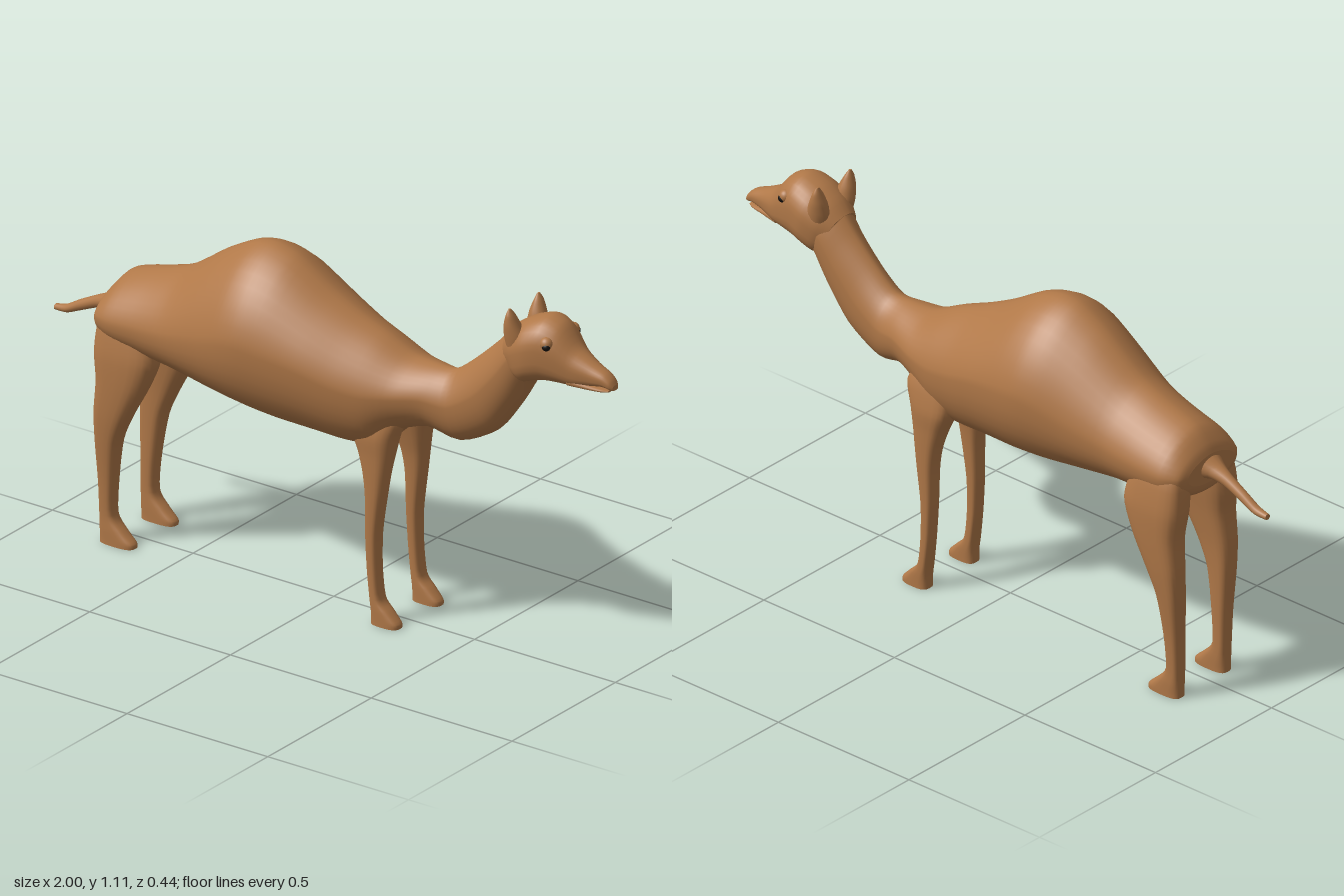
import * as THREE from 'three';

const hide = new THREE.MeshStandardMaterial({ color: 0xb07848 });
const dark = new THREE.MeshStandardMaterial({ color: 0x15100c });

// Smooth interpolation of one number along a row of sections
function spline(p0, p1, p2, p3, t) {
  const m1 = (p2 - p0) * 0.4, m2 = (p3 - p1) * 0.4;
  const t2 = t * t, t3 = t2 * t;
  return (2 * t3 - 3 * t2 + 1) * p1 + (t3 - 2 * t2 + t) * m1 + (3 * t2 - 2 * t3) * p2 + (t3 - t2) * m2;
}

// Skin over sections [ax, ay, bx, by, halfWidth, centreZ, widest point from a to b].
// Each section is a rounded loop running from point a round to point b and back;
// powerA and powerB set how square its two halves are.
function loft(name, rows, powerA, powerB, sides = 28, steps = 4) {
  const rings = [];
  for (let i = 0; i < rows.length - 1; i++) {
    for (let s = 0; s < steps || (i === rows.length - 2 && s === steps); s++) {
      const at = (k) => rows[Math.min(rows.length - 1, Math.max(0, k))];
      rings.push(rows[i].map((_, c) => spline(at(i - 1)[c], at(i)[c], at(i + 1)[c], at(i + 2)[c], s / steps)));
    }
  }
  const pos = [], index = [];
  const addRing = ([ax, ay, bx, by, w, z, mid]) => {
    for (let j = 0; j < sides; j++) {
      const a = (j / sides) * Math.PI * 2;
      const power = Math.cos(a) > 0 ? powerA : powerB;
      const round = (v) => Math.sign(v) * Math.abs(v) ** (2 / power);
      const c = round(Math.cos(a));
      const f = c > 0 ? mid * (1 - c) : mid - (1 - mid) * c;
      pos.push(ax + (bx - ax) * f, ay + (by - ay) * f, z + w * round(Math.sin(a)));
    }
  };
  rings.forEach(addRing);
  for (let i = 0; i < rings.length - 1; i++) {
    for (let j = 0; j < sides; j++) {
      const a = i * sides + j, b = i * sides + (j + 1) % sides;
      index.push(a, b, a + sides, b, b + sides, a + sides);
    }
  }
  // Flat end caps with their own vertices so the rims stay sharp
  [rings[0], rings[rings.length - 1]].forEach((r, end) => {
    const base = pos.length / 3;
    addRing(r);
    pos.push((r[0] + r[2]) / 2, (r[1] + r[3]) / 2, r[5]);
    for (let j = 0; j < sides; j++) {
      const a = base + j, b = base + (j + 1) % sides;
      index.push(base + sides, end ? a : b, end ? b : a);
    }
  });
  const g = new THREE.BufferGeometry();
  g.setAttribute('position', new THREE.Float32BufferAttribute(pos, 3));
  g.setIndex(index);
  g.computeVertexNormals();
  const mesh = new THREE.Mesh(g, hide);
  mesh.name = name;
  return mesh;
}

// Leg rows: [y, front x, back x, half width, offset from the middle]
function leg(name, rows, side, centre) {
  return loft(name, rows.map(([y, f, b, w, o]) => [f, y, b, y, w, centre + side * o, 0.5]), 2.8, 3.2, 24);
}

export function createModel() {
  const camel = new THREE.Group();
  camel.name = 'camel';

  // Trunk with hump, running on into the neck
  camel.add(loft('bodyAndNeck', [
    [-0.78, 0.76, -0.78, 0.67, 0.10, -0.012, 0.5],
    [-0.765, 0.79, -0.768, 0.64, 0.13, -0.015, 0.5],
    [-0.72, 0.835, -0.71, 0.615, 0.152, -0.018, 0.55],
    [-0.60, 0.872, -0.60, 0.60, 0.16, -0.014, 0.55],
    [-0.50, 0.91, -0.50, 0.59, 0.168, -0.007, 0.55],
    [-0.37, 1.00, -0.37, 0.57, 0.192, -0.002, 0.55],
    [-0.27, 1.052, -0.27, 0.555, 0.212, 0, 0.52],
    [-0.20, 1.06, -0.20, 0.547, 0.218, 0, 0.5],
    [-0.12, 1.038, -0.12, 0.54, 0.211, 0, 0.49],
    [0.00, 0.965, 0.00, 0.535, 0.192, 0, 0.45],
    [0.10, 0.915, 0.10, 0.53, 0.172, -0.002, 0.45],
    [0.19, 0.878, 0.19, 0.54, 0.152, -0.007, 0.45],
    [0.28, 0.835, 0.265, 0.605, 0.126, -0.012, 0.45],
    [0.36, 0.828, 0.36, 0.635, 0.095, -0.012, 0.45],
    [0.43, 0.832, 0.46, 0.617, 0.076, -0.011, 0.45],
    [0.50, 0.885, 0.58, 0.68, 0.072, -0.01, 0.45],
    [0.58, 0.96, 0.66, 0.785, 0.073, -0.01, 0.45],
    [0.64, 1.025, 0.715, 0.875, 0.075, -0.008, 0.45],
    [0.69, 1.065, 0.77, 0.91, 0.065, -0.005, 0.45],
  ], 1.65, 2.15, 40));

  // Skull and muzzle with a flat jaw; the mouth opens only at the tip
  camel.add(loft('head', [
    [0.625, 1.01, 0.675, 0.885, 0.066, -0.006, 0.5],
    [0.66, 1.045, 0.705, 0.878, 0.084, -0.005, 0.45],
    [0.71, 1.077, 0.74, 0.892, 0.093, -0.005, 0.45],
    [0.77, 1.096, 0.78, 0.902, 0.086, -0.005, 0.45],
    [0.82, 1.078, 0.82, 0.905, 0.073, -0.004, 0.5],
    [0.87, 1.02, 0.87, 0.907, 0.055, -0.002, 0.5],
    [0.925, 0.988, 0.92, 0.918, 0.038, 0, 0.5],
    [0.97, 0.968, 0.965, 0.926, 0.028, 0, 0.5],
    [0.99, 0.952, 0.99, 0.922, 0.022, 0, 0.5],
    [1.0, 0.936, 1.0, 0.92, 0.014, 0, 0.5],
  ], 2.1, 3));
  camel.add(loft('lowerLip', [
    [0.86, 0.94, 0.86, 0.908, 0.05, -0.002, 0.5],
    [0.92, 0.928, 0.92, 0.909, 0.036, 0, 0.5],
    [0.965, 0.922, 0.965, 0.911, 0.026, 0, 0.5],
    [0.985, 0.919, 0.985, 0.913, 0.016, 0, 0.5],
  ], 2.5, 3));

  // Tail, from tip to root
  camel.add(loft('tail', [
    [-1.0, 0.645, -1.0, 0.627, 0.01, -0.017, 0.5],
    [-0.96, 0.655, -0.955, 0.63, 0.015, -0.016, 0.5],
    [-0.91, 0.684, -0.90, 0.653, 0.016, -0.015, 0.5],
    [-0.85, 0.715, -0.84, 0.678, 0.02, -0.013, 0.5],
    [-0.80, 0.738, -0.79, 0.685, 0.036, -0.01, 0.5],
    [-0.75, 0.77, -0.74, 0.665, 0.07, -0.01, 0.5],
  ], 2, 2, 16));

  for (const side of [1, -1]) {
    const label = side > 0 ? 'left' : 'right';

    camel.add(leg(label + 'FrontLeg', [
      [0.73, 0.25, 0.12, 0.03, 0.06],
      [0.66, 0.285, 0.11, 0.045, 0.073],
      [0.59, 0.262, 0.118, 0.05, 0.082],
      [0.53, 0.25, 0.142, 0.042, 0.088],
      [0.47, 0.24, 0.16, 0.035, 0.094],
      [0.40, 0.23, 0.17, 0.031, 0.097],
      [0.28, 0.214, 0.172, 0.027, 0.099],
      [0.17, 0.214, 0.178, 0.025, 0.1],
      [0.08, 0.224, 0.188, 0.026, 0.1],
      [0.045, 0.255, 0.191, 0.027, 0.1],
      [0.015, 0.284, 0.191, 0.027, 0.1],
      [0, 0.286, 0.191, 0.027, 0.1],
    ], side, -0.032));

    camel.add(leg(label + 'HindLeg', [
      [0.77, -0.64, -0.74, 0.03, 0.08],
      [0.70, -0.59, -0.772, 0.05, 0.092],
      [0.61, -0.57, -0.778, 0.056, 0.103],
      [0.52, -0.602, -0.768, 0.05, 0.11],
      [0.42, -0.655, -0.775, 0.042, 0.113],
      [0.33, -0.695, -0.775, 0.036, 0.11],
      [0.20, -0.715, -0.77, 0.029, 0.103],
      [0.09, -0.72, -0.768, 0.026, 0.1],
      [0.045, -0.685, -0.768, 0.027, 0.1],
      [0.015, -0.652, -0.768, 0.027, 0.1],
      [0, -0.65, -0.768, 0.027, 0.1],
    ], side, -0.026));

    // Pointed ears growing out of the skull
    camel.add(loft(label + 'Ear', [
      [0.676, 1.112, 0.67, 1.112, 0.005, 0.07, 0.5],
      [0.688, 1.092, 0.662, 1.092, 0.018, 0.068, 0.5],
      [0.703, 1.06, 0.652, 1.06, 0.027, 0.062, 0.5],
      [0.72, 1.02, 0.648, 1.02, 0.03, 0.055, 0.5],
      [0.72, 0.97, 0.66, 0.97, 0.026, 0.05, 0.5],
    ].map((r) => r.map((v, c) => (c === 5 ? side * v - 0.004 : v))), 2, 2, 16));

    // Eyes with a dark pupil set low
    const eye = new THREE.Group();
    eye.name = label + 'Eye';
    const ball = new THREE.Mesh(new THREE.SphereGeometry(0.02, 20, 14), hide);
    ball.name = 'eyeball';
    const pupil = new THREE.Mesh(new THREE.SphereGeometry(0.013, 16, 10), dark);
    pupil.name = 'pupil';
    pupil.position.set(0.005, -0.006, side * 0.0085);
    eye.add(ball, pupil);
    eye.position.set(0.8, 1.035, side * 0.064 - 0.004);
    camel.add(eye);
  }
  return camel;
}
